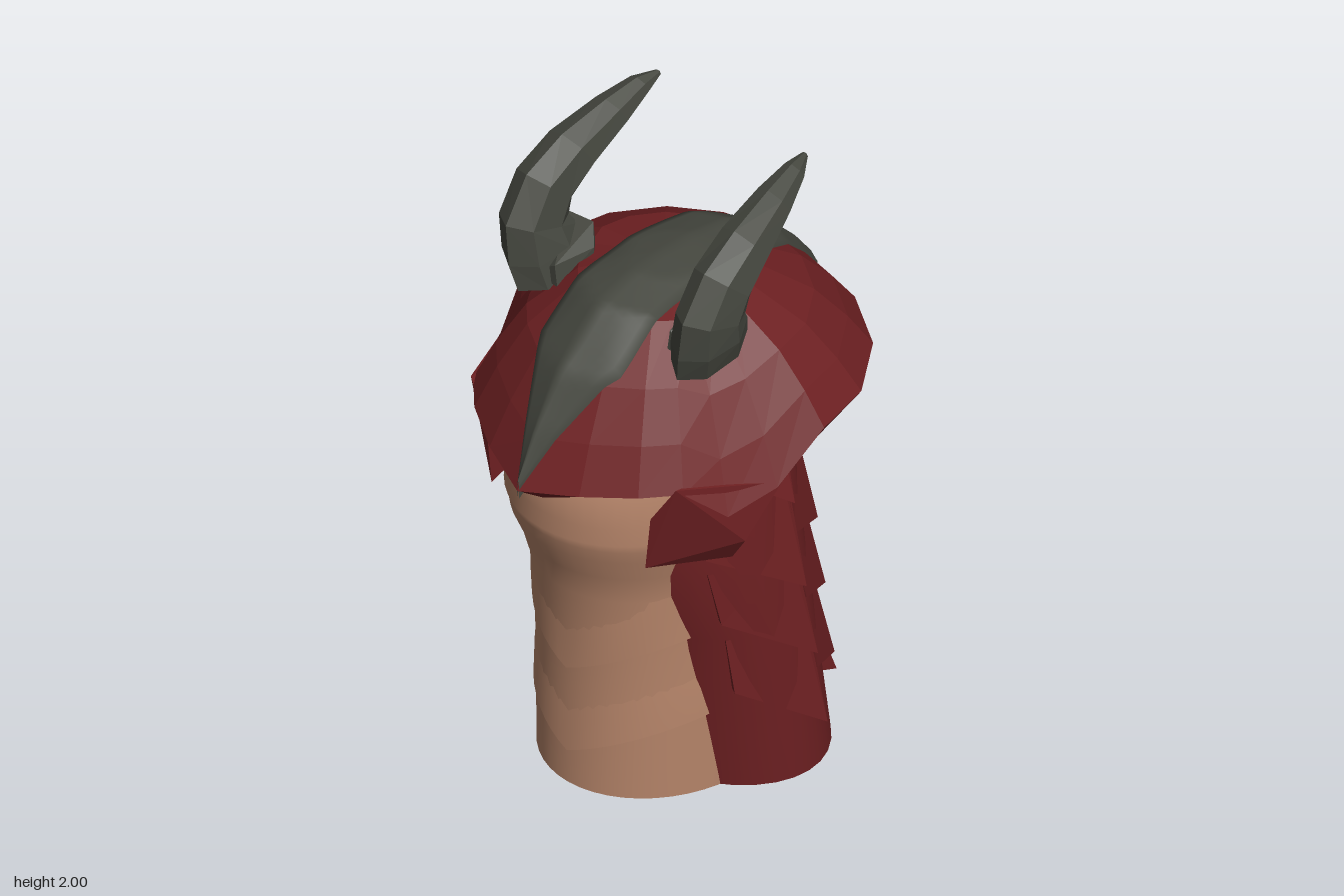
import * as THREE from 'three';
import { ConvexGeometry } from 'three/addons/geometries/ConvexGeometry.js';

const mat = (name, color) => new THREE.MeshStandardMaterial({ name, color, side: THREE.DoubleSide });

// Skin rows of [x, y, z] points; rows run upward, columns run anticlockwise seen from above
function loft(rows, { closed = false, flat = false } = {}) {
  const n = rows[0].length, idx = [];
  for (let r = 0; r < rows.length - 1; r++) {
    for (let c = 0; c < (closed ? n : n - 1); c++) {
      const a = r * n + c, b = r * n + (c + 1) % n;
      idx.push(a, b, b + n, a, b + n, a + n);
    }
  }
  let g = new THREE.BufferGeometry();
  g.setAttribute('position', new THREE.Float32BufferAttribute(rows.flat(2), 3));
  g.setIndex(idx);
  if (flat) g = g.toNonIndexed();
  g.computeVertexNormals();
  return g;
}

// Linear lookup in rows of [key, ...values]
function lookup(table, t) {
  let i = 0;
  while (i < table.length - 2 && t > table[i + 1][0]) i++;
  const p = table[i], q = table[i + 1];
  const k = THREE.MathUtils.clamp((t - p[0]) / (q[0] - p[0]), 0, 1);
  return p.slice(1).map((v, j) => v + (q[j + 1] - v) * k);
}

// Elliptic columns: [y, front z, back z, half width]
const TORSO = [[0, 0.39, -0.38, 0.328], [0.3, 0.39, -0.34, 0.325], [0.5, 0.395, -0.31, 0.318],
  [0.7, 0.42, -0.28, 0.315], [0.8, 0.45, -0.27, 0.328], [0.88, 0.485, -0.26, 0.345],
  [0.92, 0.49, -0.25, 0.35], [0.95, 0.502, -0.25, 0.355], [1, 0.492, -0.25, 0.35],
  [1.1, 0.5, -0.25, 0.35], [1.2, 0.44, -0.2, 0.33]];
const SHELL = [[0, 0.19, -0.43, 0.455], [0.4, 0.25, -0.37, 0.455], [0.55, 0.275, -0.355, 0.45],
  [0.85, 0.365, -0.33, 0.44], [1.25, 0.34, -0.3, 0.41]];
function onColumn(table, y, a, off = 0) {
  const [f, b, rx] = lookup(table, y);
  return [Math.sin(a) * (rx + off), y, (f + b) / 2 + Math.cos(a) * ((f - b) / 2 + off)];
}
const span = (n, from, to) => Array.from({ length: n + 1 }, (_, i) => from + (to - from) * i / n);
const rad = THREE.MathUtils.degToRad;
const ring = (table, y, n) => span(n, 0, Math.PI * 2).slice(0, n).map(a => onColumn(table, y, a));

// Pointed armour scale; the tip stands off the shell and may be skewed to one edge
function scaleGeometry(deg, width, skew, rise, tip, lift) {
  const top = Math.min(tip + 0.38, 1.24);
  const cols = [-1, -0.97, skew, 0.97, 1];
  const lifts = [-0.02, 0.5 * lift, lift, 0.5 * lift, -0.02];
  const make = fn => cols.map((c, i) => {
    const [y, off] = fn(tip + rise * Math.abs(c - skew) / (1 + Math.abs(skew)), lifts[i]);
    return onColumn(SHELL, y, rad(deg + c * width), off);
  });
  return loft([
    make(y => [y + 0.02, -0.02]),
    make((y, l) => [y, l]),
    make((y, l) => [top, Math.min(l, 0.006)]),
  ], { flat: true });
}

// Helmet rim from front to back on the left half, then mirrored
const HALF = [[0, 1.13, 0.6], [0.175, 1.16, 0.53], [0.32, 1.18, 0.44], [0.41, 1.19, 0.35], [0.49, 1.1, 0.25],
  [0.54, 1.15, 0.1], [0.58, 1.3, -0.05], [0.535, 1.3, -0.25], [0.4, 1.3, -0.44], [0.21, 1.3, -0.565], [0, 1.3, -0.61]];
// Underside lip: [height, scale of the rim]
const LIP = [[1.05, 0.82], [1.1, 0.8], [1.14, 0.78], [1.15, 0.76], [1.04, 0.76], [1.06, 0.76], [1.11, 0.78],
  [1.13, 0.8], [1.15, 0.8], [1.18, 0.8], [1.22, 0.8]];
const mirrorRing = half => [...half, ...half.slice(1, -1).reverse().map(([x, y, z]) => [-x, y, z])];
const RIM = mirrorRing(HALF);
const APEX = 1.625;
const DOME = [[0, 1], [0.2, 0.99], [0.45, 0.91], [0.72, 0.61], [0.88, 0.3], [1, 0]];

// Height of the helmet surface over a point
function domeY(x, z) {
  for (let i = 0; i < RIM.length; i++) {
    const p = RIM[i], q = RIM[(i + 1) % RIM.length];
    const d = p[0] * q[2] - p[2] * q[0];
    const a = (x * q[2] - z * q[0]) / d, b = (p[0] * z - p[2] * x) / d;
    if (a >= -1e-6 && b >= -1e-6 && a + b > 1e-6) {
      const rimY = (a * p[1] + b * q[1]) / (a + b);
      return rimY + (APEX - rimY) * lookup(DOME, a + b)[0];
    }
  }
  return APEX;
}

function hornGeometry(side) {
  // centre x, y, z, half width, half depth
  const path = [[0.31, 1.535, 0.14, 0.09, 0.135], [0.33, 1.61, 0.16, 0.095, 0.13], [0.345, 1.69, 0.17, 0.087, 0.118],
    [0.347, 1.78, 0.12, 0.085, 0.105], [0.337, 1.855, 0.02, 0.08, 0.083], [0.317, 1.925, -0.12, 0.06, 0.055],
    [0.302, 1.97, -0.22, 0.036, 0.032], [0.287, 1.988, -0.28, 0.01, 0.01]];
  const rows = path.map(([x, y, z, w, d], i) => {
    const p = path[Math.max(i - 1, 0)], q = path[Math.min(i + 1, path.length - 1)];
    const len = Math.hypot(q[1] - p[1], q[2] - p[2]);
    const ty = (q[1] - p[1]) / len, tz = (q[2] - p[2]) / len;
    return span(7, 0, Math.PI * 2).slice(0, 7).map(a => {
      const v = Math.cos(a) * d;
      return [side * (x + Math.sin(a) * w), y - tz * v, z + ty * v];
    });
  });
  rows.push(rows[0].map(() => [side * 0.286, 1.99, -0.285]));
  return loft(rows, { closed: true, flat: true });
}

export function createModel() {
  const red = mat('red armour', 0x6e2022);
  const tan = mat('tan skin', 0xb58469);
  const dark = mat('dark horn', 0x45473f);
  const model = new THREE.Group();
  model.name = 'hornedWorm';
  const add = (name, geometry, material) => {
    const m = new THREE.Mesh(geometry, material);
    m.name = name;
    model.add(m);
  };

  // Soft torso with a flat base
  add('torso', loft(TORSO.map(r => ring(TORSO, r[0], 48)), { closed: true }), tan);
  const base = ring(TORSO, 0, 48);
  add('torsoBase', loft([base.map(() => [0, 0.001, 0]), base], { closed: true }), tan);

  // Overlapping belly plates with V-shaped lower edges
  for (const yb of [0.115, 0.405]) {
    const plateRow = (rise, off) => span(24, rad(-72), rad(72)).map(a =>
      onColumn(TORSO, yb + rise + 0.16 * Math.abs(Math.sin(a)), a, off));
    add('bellyPlateEdge', loft([plateRow(0.004, -0.01), plateRow(0, 0.007)]), tan);
    add('bellyPlate', loft([plateRow(0, 0.007), plateRow(0.1, 0.003), plateRow(0.2, -0.006)]), tan);
  }

  // Back shell
  add('backShell', loft(SHELL.map(r => ring(SHELL, r[0], 36)), { closed: true }), red);

  // Scale columns: angle from front, half width, tip skew, edge rise, lift, tip heights
  const columns = [
    [80, 25, 0.8, 0.2, 0.045, [0.98, 0.68, 0.43, 0.17]],
    [124, 22, 0.75, 0.14, 0.05, [1.0, 0.72, 0.48, 0.22]],
    [180, 36, 0, 0.13, 0.07, [0.98, 0.56, 0.26, 0]],
  ];
  for (const [deg, width, skew, rise, lift, tips] of columns) {
    for (const tip of tips) {
      const out = tip === 0 ? 0.115 : lift;
      add('backScale', scaleGeometry(deg, width, skew, rise, tip, out), red);
      if (deg < 180) add('backScale', scaleGeometry(-deg, width, -skew, rise, tip, out), red);
    }
  }

  // Faceted helmet: inner lining, underside lip, rim, dome
  const lipRing = (shrink, lift) => mirrorRing(HALF.map(([x, , z], i) => {
    const [y, s] = LIP[i];
    return [x * s * shrink, y + lift, z * s * shrink];
  }));
  const domeRows = DOME.slice().reverse().map(([s, h]) =>
    RIM.map(([x, y, z]) => [x * s, y + (APEX - y) * h, z * s]));
  add('helmet', loft([lipRing(0.65, 0.04), lipRing(1, 0), ...domeRows], { closed: true, flat: true }), red);

  // Crest stripe: [z, half width], finely stepped so it hugs the dome
  const crest = [[-0.607, 0.025], [-0.58, 0.035], [-0.3, 0.125], [0, 0.147], [0.3, 0.156], [0.34, 0.155], [0.6, 0.002]];
  const crestRows = span(56, 0.597, -0.606).map(z => {
    const [w] = lookup(crest, z);
    return [[-1, -0.03], ...span(12, -1, 1).map(c => [c, 0.01 + 0.02 * (1 - Math.abs(c))]), [1, -0.03]]
      .map(([c, off]) => [c * w, domeY(c * w, z) + off, z]);
  });
  add('crestStripe', loft(crestRows), dark);

  for (const side of [1, -1]) {
    const hull = pts => new ConvexGeometry(pts.map(([x, y, z]) => new THREE.Vector3(side * x, y, z)));
    // Cheek guard below the helmet rim
    add('cheekGuard', hull([[0.4, 1.21, 0.37], [0.32, 1.08, 0.39], [0.3, 0.9, 0.39], [0.44, 0.9, 0.18],
      [0.34, 0.9, 0.2], [0.5, 0.99, 0.19], [0.54, 1.16, 0.08], [0.42, 1.18, 0.06]]), red);
    // Curved horn with a blocky root
    add('horn', hornGeometry(side), dark);
    add('hornRoot', hull([[0.195, 1.61, 0.08], [0.245, 1.65, 0.03], [0.2, 1.53, 0.08], [0.245, 1.55, 0.02],
      [0.215, 1.53, 0.21], [0.225, 1.6, 0.21], [0.33, 1.65, 0.04], [0.33, 1.53, 0.02], [0.33, 1.53, 0.2]]), dark);
  }
  return model;
}
